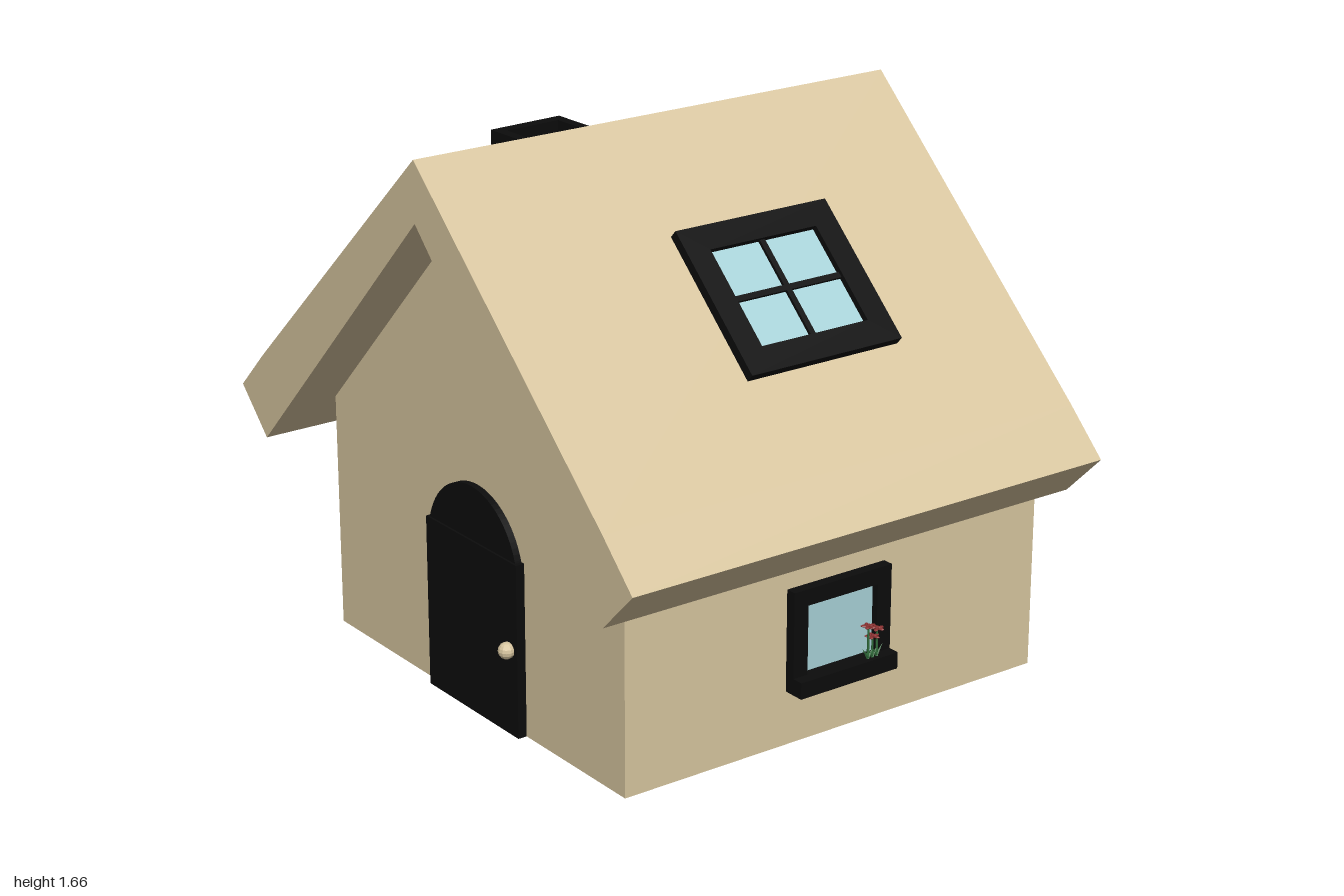
import * as THREE from 'three';

const mat = (color, extra = {}) => new THREE.MeshStandardMaterial({ color, flatShading: true, ...extra });
const tan = mat(0xd8c6a0);
const black = mat(0x0c0c0c);
const glass = mat(0xa8d2d8);
const green = mat(0x2f6b3a);
const red = mat(0x8a3030, { side: THREE.DoubleSide });
const orange = mat(0xb5562c, { side: THREE.DoubleSide });

function add(parent, name, geometry, material, x = 0, y = 0, z = 0) {
  const mesh = new THREE.Mesh(geometry, material);
  mesh.name = name;
  mesh.position.set(x, y, z);
  parent.add(mesh);
  return mesh;
}

const box = (w, h, d) => new THREE.BoxGeometry(w, h, d);
const polygon = (pts) => new THREE.Shape(pts.map(([x, y]) => new THREE.Vector2(x, y)));
const extrude = (shape, depth) =>
  new THREE.ExtrudeGeometry(shape, { depth, bevelEnabled: false, curveSegments: 20 });

const rect = (w, h) => [[-w / 2, -h / 2], [w / 2, -h / 2], [w / 2, h / 2], [-w / 2, h / 2]];

// Rectangular ring lying in the XY plane, extruded along +z
function ring(w, h, holeW, holeH, depth) {
  const shape = polygon(rect(w, h));
  shape.holes.push(polygon(rect(holeW, holeH)));
  return extrude(shape, depth);
}

// Framed pane facing +z
function makeWindow(name, w, h, border, depth) {
  const g = new THREE.Group();
  g.name = name;
  const iw = w - 2 * border, ih = h - 2 * border;
  add(g, 'windowFrame', ring(w, h, iw, ih, depth), black);
  add(g, 'windowPane', box(iw, ih, 0.01), glass, 0, 0, 0.006);
  return g;
}

// Small flower: stem, two leaves and a fan of petals
function makeFlower(height, petalMat) {
  const g = new THREE.Group();
  g.name = 'flower';
  add(g, 'stem', new THREE.CylinderGeometry(0.003, 0.004, height, 5), green, 0, height / 2, 0);
  for (const s of [-1, 1]) {
    const leaf = add(g, 'leaf', new THREE.ConeGeometry(0.006, 0.04, 4), green, s * 0.01, 0.018, 0);
    leaf.rotation.z = -s * 0.6;
  }
  for (let i = 0; i < 5; i++) {
    const a = (i / 5) * Math.PI * 2;
    const petal = add(g, 'petal', new THREE.SphereGeometry(0.011, 6, 4), petalMat,
      Math.cos(a) * 0.013, height, Math.sin(a) * 0.013);
    petal.scale.set(1, 0.3, 0.6);
    petal.rotation.y = -a;
  }
  add(g, 'flowerCentre', new THREE.SphereGeometry(0.006, 6, 4), petalMat, 0, height + 0.002, 0);
  return g;
}

// Wall window with a deep sill carrying flowers: [offset, height, material]
function makeSideWindow(name, flowers) {
  const g = makeWindow(name, 0.35, 0.31, 0.05, 0.033);
  add(g, 'windowSill', box(0.35, 0.05, 0.068), black, 0, -0.13, 0.034);
  for (const [x, h, m] of flowers) {
    const f = makeFlower(h, m);
    f.position.set(x, -0.105, 0.05);
    g.add(f);
  }
  return g;
}

export function createModel() {
  const house = new THREE.Group();
  house.name = 'house';

  // Walls with gables
  add(house, 'walls', extrude(polygon([
    [-0.735, 0], [0.735, 0], [0.735, 0.735], [0, 1.48], [-0.735, 0.735],
  ]), 1.475), tan, 0, 0, -0.82);

  // Thick roof, overhanging the front and both sides
  add(house, 'roof', extrude(polygon([
    [0, 1.66], [-0.87, 0.858], [-1, 0.73], [-0.867, 0.597],
    [0, 1.48], [0.867, 0.597], [1, 0.73], [0.87, 0.858],
  ]), 1.64), tan, 0, 0, -0.82);

  // Hollow chimney
  const chimney = add(house, 'chimney', ring(0.225, 0.255, 0.15, 0.19, 0.46), black, -0.567, 1.02, -0.008);
  chimney.rotation.set(-Math.PI / 2, 0, 0.04);

  // Door: plank, rounded top and knob
  const door = new THREE.Group();
  door.name = 'door';
  house.add(door);
  add(door, 'doorPanel', box(0.46, 0.53, 0.04), black, 0.03, 0.265, 0.663);
  const arch = new THREE.Shape();
  arch.absarc(0, 0, 0.228, 0, Math.PI, false);
  add(door, 'doorArch', extrude(arch, 0.03), black, 0.028, 0.465, 0.646);
  add(door, 'doorKnob', new THREE.SphereGeometry(0.025, 12, 8), tan, 0.223, 0.263, 0.694);

  // Side windows
  const left = makeSideWindow('leftWindow', [[0.08, 0.1, red], [0.112, 0.085, red], [0.096, 0.065, red]]);
  left.position.set(0.735, 0.32, -0.075);
  left.rotation.y = Math.PI / 2;
  const right = makeSideWindow('rightWindow', [[-0.09, 0.05, orange], [-0.065, 0.04, orange], [0.07, 0.08, red]]);
  right.position.set(-0.735, 0.295, -0.105);
  right.rotation.y = -Math.PI / 2;
  house.add(left, right);

  // Skylight on the left slope, with crossed glazing bars
  const skylight = makeWindow('skylight', 0.53, 0.475, 0.078, 0.03);
  add(skylight, 'glazingBar', box(0.018, 0.33, 0.016), black, 0, 0, 0.012);
  add(skylight, 'glazingBar', box(0.385, 0.018, 0.016), black, 0, 0, 0.012);
  skylight.position.set(0.463, 1.234, -0.095);
  skylight.rotation.set(-Math.atan(1 / 0.922), Math.PI / 2, 0, 'YXZ');
  house.add(skylight);

  return house;
}
